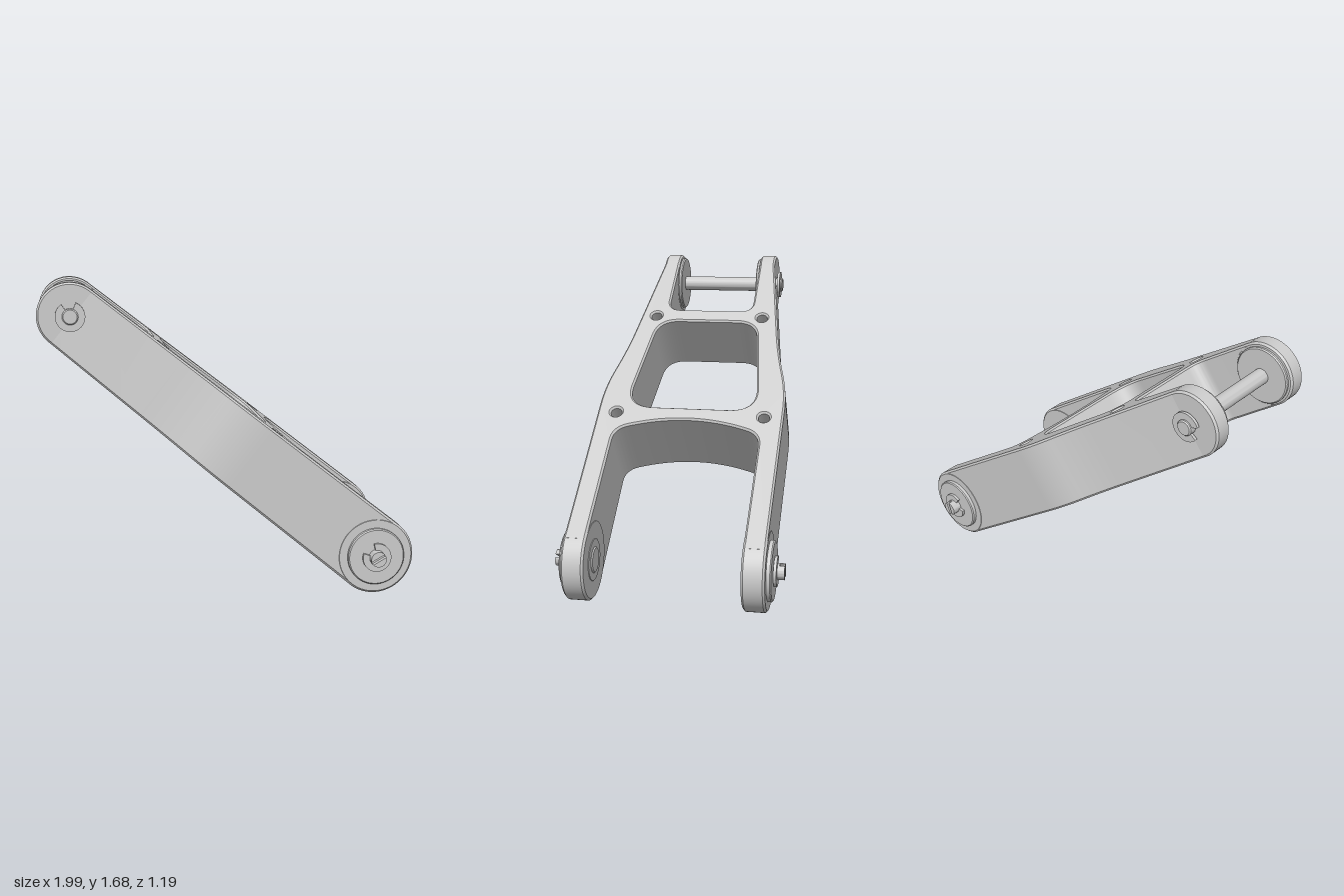
import * as THREE from 'three';
import { toCreasedNormals } from 'three/addons/utils/BufferGeometryUtils.js';

const material = new THREE.MeshStandardMaterial({ color: 0xcccccc });
const LENGTH = 2.069, R_UP = 0.175, R_LOW = 0.21;

function add(parent, name, geometry) {
  const mesh = new THREE.Mesh(toCreasedNormals(geometry, 0.4), material);
  mesh.name = name;
  parent.add(mesh);
  return mesh;
}

// Closed outline from [x, y, cut] corners, each rounded over the cut distance
function rounded(corners, path) {
  const n = corners.length;
  const toward = (a, b) => {
    const p = new THREE.Vector2(a[0], a[1]);
    const d = new THREE.Vector2(b[0], b[1]).sub(p).setLength(a[2] || 0);
    return p.add(d);
  };
  corners.forEach((c, i) => {
    const a = toward(c, corners[(i + n - 1) % n]);
    if (i === 0) path.moveTo(a.x, a.y);
    else path.lineTo(a.x, a.y);
    if (c[2]) {
      const b = toward(c, corners[(i + 1) % n]);
      path.quadraticCurveTo(c[0], c[1], b.x, b.y);
    }
  });
  path.closePath();
  return path;
}

// Adds the mirror image of one half of an outline; points on the axis are shared
function mirrored(half) {
  const other = half.filter(p => p[1] !== 0).reverse().map(([x, y, r]) => [x, -y, r]);
  return half.concat(other);
}

// Disc or pin along z with bevelled rims
function disc(r, z0, z1, bevel = 0.006) {
  const profile = [[0, z0], [r - bevel, z0], [r, z0 + bevel], [r, z1 - bevel], [r - bevel, z1], [0, z1]];
  return new THREE.LatheGeometry(profile.map(p => new THREE.Vector2(...p)), 64).rotateX(Math.PI / 2);
}

// Open retaining clip with its gap centred on the given angle
function clip(z, gapAngle) {
  const a0 = gapAngle + 0.5, a1 = gapAngle + Math.PI * 2 - 0.5;
  const s = new THREE.Shape();
  s.absarc(0, 0, 0.078, a0, a1, false);
  s.absarc(0, 0, 0.04, a1, a0, true);
  s.closePath();
  return new THREE.ExtrudeGeometry(s, { depth: 0.015, bevelEnabled: false, curveSegments: 24 }).translate(0, 0, z);
}

function bodyGeometry() {
  // Outline runs clockwise, the window and bolt holes counterclockwise
  const outline = rounded(mirrored([
    [0.415, 0.25, 0.075], [-0.02, 0.25], [-0.02, 0.338], [0.02, 0.342],
    [0.74, 0.44, 0.15], [1.05, 0.515, 0.13],
    [LENGTH + 0.02, 0.515], [LENGTH + 0.02, 0.4],
    [1.35, 0.4, 0.08], [1.215, 0, 0.34],
  ]), new THREE.Shape());
  outline.holes.push(rounded(mirrored([[1.185, 0.366, 0.16], [0.51, 0.29, 0.12]]), new THREE.Path()));
  for (const [u, z] of [[0.472, 0.315], [1.233, 0.41]]) {
    for (const s of [1, -1]) outline.holes.push(new THREE.Path().absarc(u, s * z, 0.031, 0, Math.PI * 2, false));
  }
  const bevel = 0.01, depth = 2 - 0.11;
  const g = new THREE.ExtrudeGeometry(outline, {
    depth, curveSegments: 16, bevelThickness: 0.055, bevelSize: bevel, bevelOffset: -bevel, bevelSegments: 1,
  });
  g.translate(0, 0, -depth / 2).rotateX(-Math.PI / 2);
  // Taper the thickness from the upper to the lower pivot
  const p = g.attributes.position;
  for (let i = 0; i < p.count; i++) {
    const t = THREE.MathUtils.clamp(p.getX(i) / LENGTH, 0, 1);
    p.setY(i, p.getY(i) * THREE.MathUtils.lerp(R_UP, R_LOW, t));
  }
  return g;
}

export function createModel() {
  const model = new THREE.Group();
  model.name = 'linkArm';
  const arm = new THREE.Group();
  arm.name = 'arm';
  arm.position.set(-0.822, 1.512, 0);
  arm.rotation.z = -Math.atan2(1.3, 1.61);
  model.add(arm);

  add(arm, 'forkBody', bodyGeometry());
  add(arm, 'upperPin', disc(0.042, -0.38, 0.38));

  for (const s of [1, -1]) {
    const side = s > 0 ? 'left' : 'right';

    // Upper pivot: rounded arm end, inner washer and clip
    const upper = new THREE.Group();
    upper.name = side + 'UpperPivot';
    upper.rotation.x = s > 0 ? 0 : Math.PI;
    arm.add(upper);
    add(upper, 'upperArmEnd', disc(R_UP, 0.249, 0.341, 0.01));
    add(upper, 'innerWasher', disc(0.155, 0.23, 0.252));
    add(upper, 'retainingClip', clip(0.352, Math.PI * 0.75));

    // Lower pivot: rounded arm end, outer washer, inner ring and boss, slotted pin and clip
    const lower = new THREE.Group();
    lower.name = side + 'LowerPivot';
    lower.position.x = LENGTH;
    lower.rotation.x = s > 0 ? 0 : Math.PI;
    arm.add(lower);
    add(lower, 'lowerArmEnd', disc(R_LOW, 0.398, 0.517, 0.011));
    add(lower, 'outerWasher', disc(0.155, 0.51, 0.541));
    add(lower, 'innerRing', disc(0.11, 0.395, 0.41, 0.002));
    add(lower, 'innerBoss', disc(0.068, 0.388, 0.41));
    add(lower, 'retainingClip', clip(0.543, Math.PI * 0.95));
    add(lower, 'lowerPin', disc(0.042, 0.5, 0.57, 0.002));
    for (const turn of [0, Math.PI]) {
      const half = new THREE.Shape().absarc(0, 0, 0.042, 0.22, Math.PI - 0.22, false);
      half.closePath();
      const g = new THREE.ExtrudeGeometry(half, { depth: 0.027, bevelEnabled: false, curveSegments: 20 });
      add(lower, 'pinHeadHalf', g.translate(0, 0, 0.568).rotateZ(turn + 1.2));
    }
  }
  return model;
}
